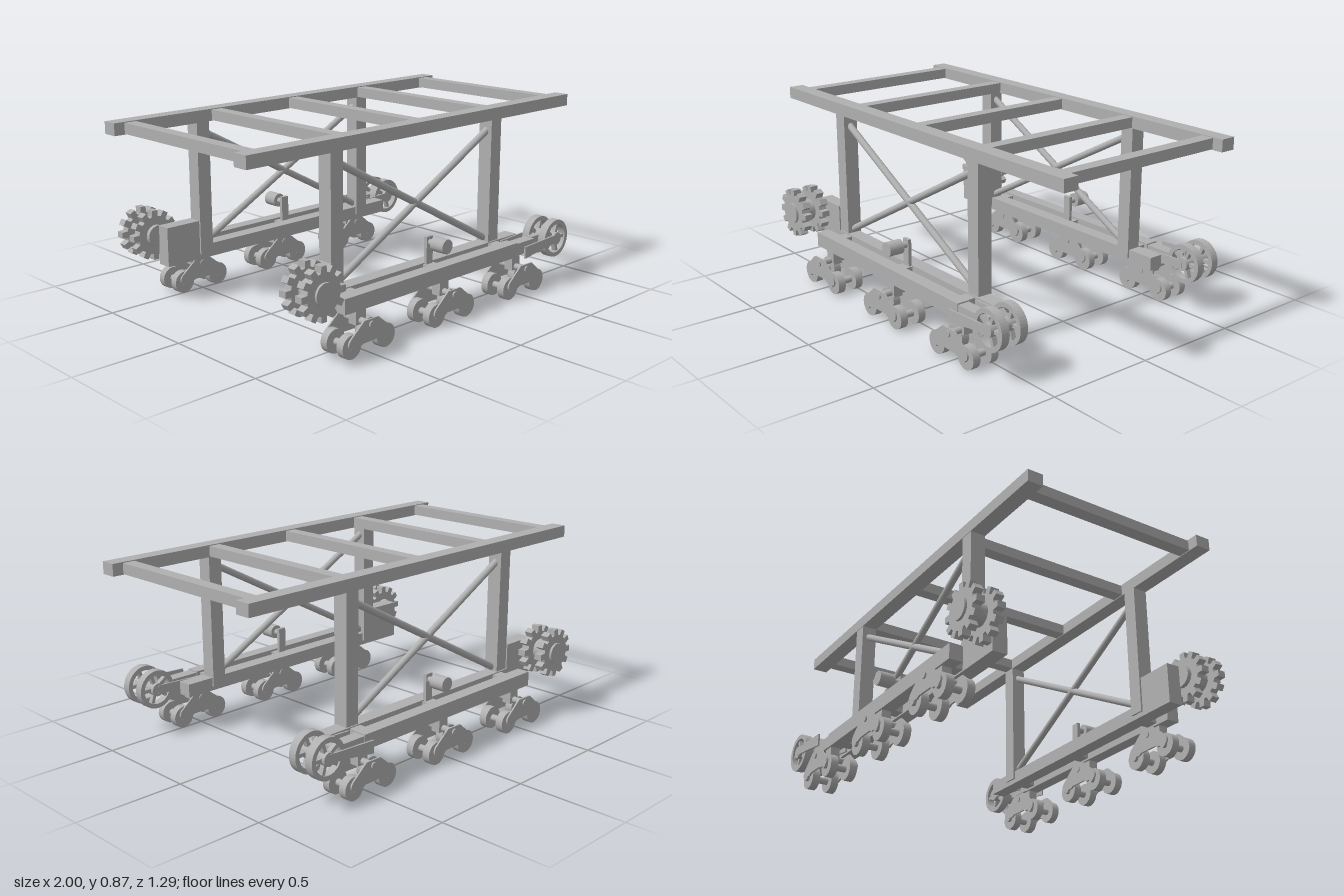
import * as THREE from 'three';

const steel = new THREE.MeshStandardMaterial({ color: 0xb0b0b0 });
steel.name = 'plain grey steel';

function add(parent, name, geometry, x = 0, y = 0, z = 0) {
  const mesh = new THREE.Mesh(geometry, steel);
  mesh.name = name;
  mesh.position.set(x, y, z);
  parent.add(mesh);
  return mesh;
}

// Box given by its extents
function box(parent, name, x0, x1, y0, y1, z0, z1) {
  return add(parent, name, new THREE.BoxGeometry(x1 - x0, y1 - y0, Math.abs(z1 - z0)),
    (x0 + x1) / 2, (y0 + y1) / 2, (z0 + z1) / 2);
}

// Cylinder lying along z
function axle(parent, name, r, x, y, z0, z1, seg = 32) {
  const g = new THREE.CylinderGeometry(r, r, Math.abs(z1 - z0), seg).rotateX(Math.PI / 2);
  return add(parent, name, g, x, y, (z0 + z1) / 2);
}

// Flat shape extruded along z and centred on it
function plate(parent, name, shape, depth, x, y, z) {
  const g = new THREE.ExtrudeGeometry(shape, { depth, bevelEnabled: false, curveSegments: 20 });
  return add(parent, name, g.translate(0, 0, -depth / 2), x, y, z);
}

function polygon(points) {
  return new THREE.Shape(points.map(([x, y]) => new THREE.Vector2(x, y)));
}

function sprocketShape() {
  const pts = [], teeth = 12;
  for (let i = 0; i < teeth; i++) {
    const a = (i / teeth) * Math.PI * 2;
    for (const [da, r] of [[-0.17, 0.088], [-0.12, 0.116], [0.12, 0.116], [0.17, 0.088]]) {
      pts.push([Math.cos(a + da) * r, Math.sin(a + da) * r]);
    }
  }
  return polygon(pts);
}

function ringShape(outer, inner) {
  const s = new THREE.Shape().absarc(0, 0, outer, 0, Math.PI * 2);
  s.holes.push(new THREE.Path().absarc(0, 0, inner, 0, Math.PI * 2, true));
  return s;
}

// Bogie cheek: narrow top, rounded lower ends around the axles
function cheekShape() {
  const s = new THREE.Shape();
  s.moveTo(-0.04, 0.152);
  s.lineTo(-0.115, 0.09);
  s.quadraticCurveTo(-0.135, 0.068, -0.118, 0.05);
  s.lineTo(-0.06, 0.05);
  s.lineTo(-0.045, 0.058);
  s.lineTo(0.045, 0.058);
  s.lineTo(0.06, 0.05);
  s.lineTo(0.118, 0.05);
  s.quadraticCurveTo(0.135, 0.068, 0.115, 0.09);
  s.lineTo(0.04, 0.152);
  return s;
}

const DISCS = [0.514, 0.607]; // z of the paired wheel discs

function bogie(x, s) {
  const g = new THREE.Group();
  g.name = 'bogie';
  g.position.x = x;
  for (const dx of [-0.097, 0.097]) {
    for (const z of DISCS) axle(g, 'roadWheel', 0.052, dx, 0.052, s * (z - 0.018), s * (z + 0.018));
    axle(g, 'wheelAxle', 0.016, dx, 0.052, s * 0.483, s * 0.638, 16);
  }
  for (const z of [0.487, 0.634]) plate(g, 'bogieCheek', cheekShape(), 0.008, 0, 0, s * z);
  axle(g, 'bogiePin', 0.015, 0, 0.128, s * 0.478, s * 0.645, 16);
  box(g, 'bogieMount', -0.028, 0.028, 0.112, 0.176, s * 0.533, s * 0.577);
  return g;
}

function sprocket(s) {
  const g = new THREE.Group();
  g.name = 'driveSprocket';
  g.position.set(-0.755, 0.312, 0);
  for (const z of DISCS) plate(g, 'toothedDisc', sprocketShape(), 0.038, 0, 0, s * z);
  axle(g, 'sprocketHub', 0.049, 0, 0, s * 0.475, s * 0.637);
  return g;
}

function idler(s) {
  const g = new THREE.Group();
  g.name = 'idlerWheel';
  g.position.set(0.745, 0.225, 0);
  for (const z of DISCS) {
    plate(g, 'idlerRim', ringShape(0.09, 0.069), 0.038, 0, 0, s * z);
    for (let i = 0; i < 5; i++) {
      const a = (i / 5) * Math.PI * 2;
      const spoke = box(g, 'idlerSpoke', -0.024, 0.024, -0.008, 0.008, s * z - 0.011, s * z + 0.011);
      spoke.position.set(Math.cos(a) * 0.05, Math.sin(a) * 0.05, s * z);
      spoke.rotation.z = a;
    }
  }
  axle(g, 'idlerHub', 0.03, 0, 0, s * 0.487, s * 0.632);
  return g;
}

// Round diagonal between two points in a plane of constant z
function brace(parent, x0, y0, x1, y1, z) {
  const len = Math.hypot(x1 - x0, y1 - y0);
  const m = add(parent, 'diagonalBrace', new THREE.CylinderGeometry(0.016, 0.016, len, 20),
    (x0 + x1) / 2, (y0 + y1) / 2, z);
  m.rotation.z = Math.atan2(y1 - y0, x1 - x0) - Math.PI / 2;
}

function side(s) {
  const g = new THREE.Group();
  g.name = s > 0 ? 'frontSide' : 'backSide';

  // Upper frame: rail, posts and crossed braces
  box(g, 'topRail', -1, 1, 0.815, 0.87, s * 0.402, s * 0.474);
  for (const x of [-0.54, 0.46]) box(g, 'post', x - 0.034, x + 0.034, 0.2, 0.815, s * 0.402, s * 0.472);
  brace(g, -0.52, 0.252, 0.44, 0.768, s * 0.437);
  brace(g, -0.52, 0.768, 0.44, 0.252, s * 0.437);

  // Lower beams and the drive mount
  box(g, 'innerBeam', -0.6, 0.63, 0.178, 0.24, s * 0.41, s * 0.478);
  box(g, 'driveMount', -0.75, -0.574, 0.178, 0.36, s * 0.41, s * 0.478);
  box(g, 'trackBeam', -0.605, 0.5, 0.176, 0.244, s * 0.523, s * 0.585);
  for (const x of [-0.5, 0, 0.45]) box(g, 'beamLink', x - 0.03, x + 0.03, 0.185, 0.235, s * 0.475, s * 0.525);

  // Idler arm
  box(g, 'idlerArm', 0.5, 0.635, 0.18, 0.238, s * 0.526, s * 0.582);
  box(g, 'tensionRod', 0.63, 0.685, 0.207, 0.243, s * 0.54, s * 0.57);
  const arm = polygon([[0.5, 0.178], [0.64, 0.198], [0.745, 0.208], [0.745, 0.246], [0.5, 0.235]]);
  for (const z of [0.489, 0.63]) plate(g, 'idlerArmPlate', arm, 0.008, 0, 0, s * z);

  // Return roller on its bracket
  box(g, 'rollerBracket', -0.02, 0.02, 0.235, 0.36, s * 0.474, s * 0.49);
  axle(g, 'returnRoller', 0.033, 0, 0.333, s * 0.519, s * 0.592);
  axle(g, 'rollerPin', 0.014, 0, 0.333, s * 0.48, s * 0.525, 16);

  g.add(sprocket(s), idler(s));
  for (const x of [-0.508, 0, 0.505]) g.add(bogie(x, s));
  return g;
}

export function createModel() {
  const model = new THREE.Group();
  model.name = 'trackedGantry';
  for (const s of [1, -1]) model.add(side(s));
  for (let i = -2; i <= 2; i++) {
    box(model, 'crossBeam', i * 0.46 - 0.029, i * 0.46 + 0.029, 0.818, 0.866, -0.405, 0.405);
  }
  return model;
}
